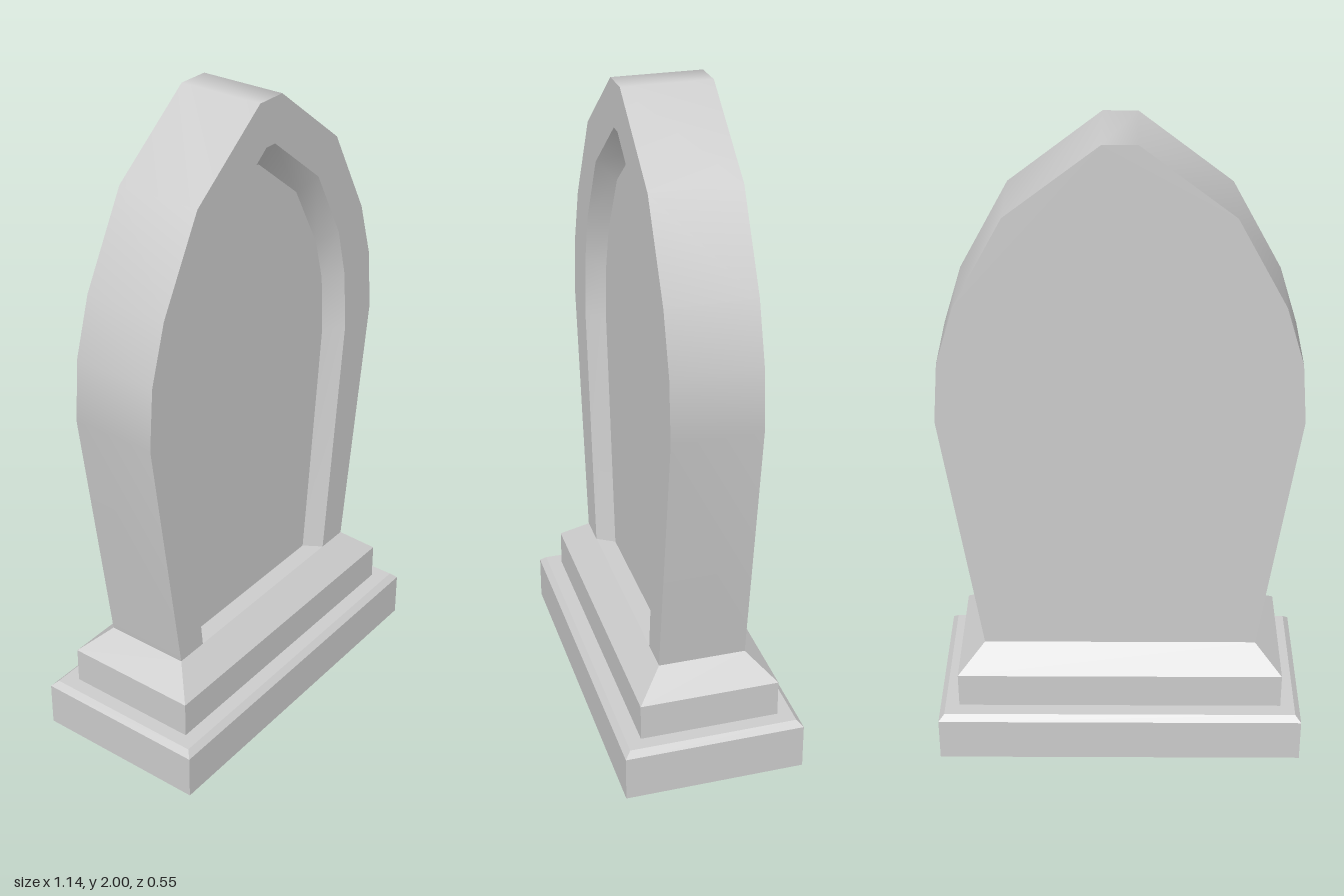
import * as THREE from 'three';
import { toCreasedNormals } from 'three/addons/utils/BufferGeometryUtils.js';

const material = new THREE.MeshStandardMaterial({ color: 0xcccccc, side: THREE.DoubleSide });

// Right half of each arch, from foot to peak; mirrored to a full open outline
const mirrorArch = (half) => [...half, ...half.map(([x, y]) => [-x, y]).reverse()];
const OUTER = mirrorArch([[0.425, 0.35], [0.54, 1.15], [0.525, 1.34], [0.47, 1.52], [0.323, 1.79], [0.05, 2]]);
const RIM = mirrorArch([[0.32, 0.35], [0.405, 1.135], [0.39, 1.325], [0.35, 1.48], [0.235, 1.695], [0.02, 1.865]]);
const PANEL = mirrorArch([[0.285, 0.35], [0.361, 1.125], [0.35, 1.31], [0.313, 1.445], [0.205, 1.643], [0.02, 1.79]]);
const HALF_DEPTH = 0.134;
const PANEL_Z = 0.078;

// Joins successive rows of [x, y, z] points with quads
function loft(rows, closed) {
  const n = rows[0].length;
  const index = [];
  for (let r = 0; r < rows.length - 1; r++) {
    for (let i = 0; i < (closed ? n : n - 1); i++) {
      const j = (i + 1) % n;
      const a = r * n + i, b = r * n + j, c = a + n, d = b + n;
      index.push(a, b, d, a, d, c);
    }
  }
  const geometry = new THREE.BufferGeometry();
  geometry.setAttribute('position', new THREE.Float32BufferAttribute(rows.flat(2), 3));
  geometry.setIndex(index);
  return geometry;
}

const atDepth = (outline, z) => outline.map(([x, y]) => [x, y, z]);

function flatFace(points) {
  return new THREE.ShapeGeometry(new THREE.Shape(points.map(([x, y]) => new THREE.Vector2(x, y))));
}

function addMesh(parent, name, geometry) {
  const mesh = new THREE.Mesh(geometry, material);
  mesh.name = name;
  parent.add(mesh);
  return mesh;
}

function createBase() {
  const base = new THREE.Group();
  base.name = 'base';

  // Stepped, bevelled plinth, hollow underneath: [half width, half depth, height]
  const steps = [
    [0.57, 0.277, 0], [0.57, 0.277, 0.142], [0.552, 0.259, 0.16],
    [0.508, 0.214, 0.16], [0.508, 0.214, 0.275], [0.425, HALF_DEPTH, 0.35],
  ];
  const rings = steps.map(([x, z, y]) => [[-x, y, z], [x, y, z], [x, y, -z], [-x, y, -z]]);
  addMesh(base, 'plinth', toCreasedNormals(loft(rings, true), 0.1));

  const top = new THREE.PlaneGeometry(0.85, HALF_DEPTH * 2).rotateX(-Math.PI / 2);
  addMesh(base, 'plinthTop', top).position.y = 0.35;
  return base;
}

function createStone() {
  const stone = new THREE.Group();
  stone.name = 'headstone';

  // Arched border around the recess, open at the foot
  addMesh(stone, 'frontBorder', flatFace([...OUTER, ...[...RIM].reverse()])).position.z = HALF_DEPTH;
  addMesh(stone, 'recessedPanel', flatFace(PANEL)).position.z = PANEL_Z;
  addMesh(stone, 'backFace', flatFace(OUTER).rotateY(Math.PI)).position.z = -HALF_DEPTH;

  // Outer edge and slanted recess wall, smooth along the arch
  const edge = loft([atDepth(OUTER, -HALF_DEPTH), atDepth(OUTER, HALF_DEPTH)], false);
  edge.setIndex([...edge.index.array].reverse());
  const wall = loft([atDepth(PANEL, PANEL_Z), atDepth(RIM, HALF_DEPTH)], false);
  // Edge faces outward, recess wall faces inward
  edge.setIndex([...edge.index.array].reverse());
  wall.setIndex([...wall.index.array].reverse());
  for (const geometry of [edge, wall]) geometry.computeVertexNormals();
  addMesh(stone, 'outerEdge', edge);
  addMesh(stone, 'recessWall', wall);
  return stone;
}

export function createModel() {
  const model = new THREE.Group();
  model.name = 'gravestone';
  model.add(createBase(), createStone());
  return model;
}
